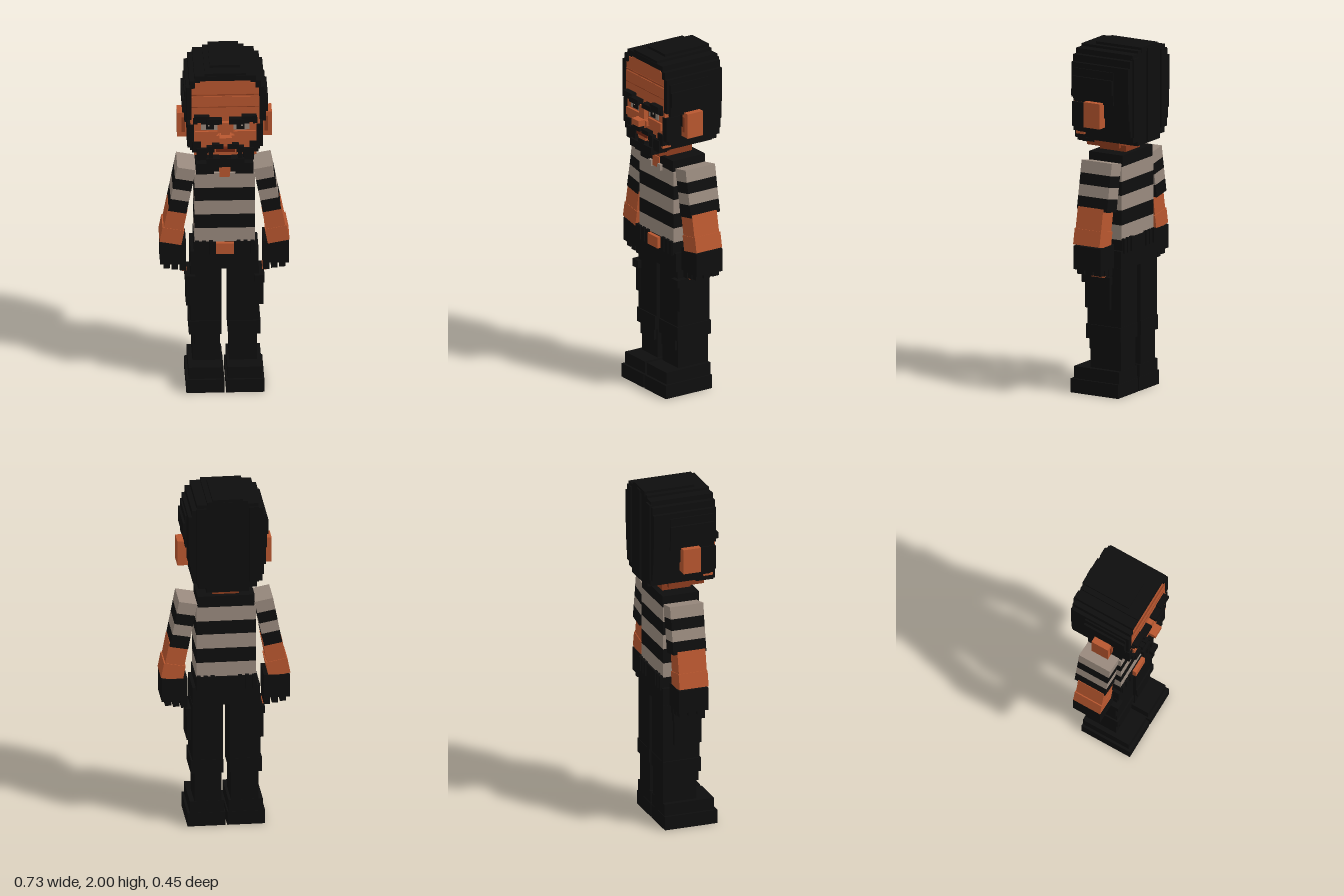
import * as THREE from 'three';

const mat = (name, color) => {
  const m = new THREE.MeshStandardMaterial({ color });
  m.name = name;
  return m;
};

export function createModel() {
  const root = new THREE.Group();
  root.name = 'blockFigure';
  const black = mat('black', 0x0e0e0e);
  const skin = mat('skin', 0xb9572f);
  const cream = mat('cream', 0x998a7e);
  const shade = mat('skinShade', 0x8c3c1e);
  const lip = mat('lip', 0x6e2410);

  // Box from its limits: [x0, x1, y0, y1, z0, z1]
  const box = (parent, name, m, [x0, x1, y0, y1, z0, z1]) => {
    const mesh = new THREE.Mesh(new THREE.BoxGeometry(x1 - x0, y1 - y0, z1 - z0), m);
    mesh.position.set((x0 + x1) / 2, (y0 + y1) / 2, (z0 + z1) / 2);
    mesh.name = name;
    parent.add(mesh);
    return mesh;
  };
  // The same box on both sides of x = 0
  const pair = (parent, name, m, [x0, x1, ...rest]) => {
    box(parent, name + 'Left', m, [x0, x1, ...rest]);
    box(parent, name + 'Right', m, [-x1, -x0, ...rest]);
  };
  const group = (name, parent = root) => {
    const g = new THREE.Group();
    g.name = name;
    parent.add(g);
    return g;
  };

  // Hair: stacked layers [y0, y1, halfWidth, frontZ]
  const head = group('head');
  [
    [1.98, 2.0, 0.085, 0.08], [1.965, 1.985, 0.115, 0.155], [1.94, 1.97, 0.172, 0.157],
    [1.9, 1.94, 0.2, 0.145], [1.83, 1.9, 0.22, 0.145], [1.7, 1.83, 0.22, 0.14],
    [1.6, 1.7, 0.215, 0.05], [1.54, 1.6, 0.205, 0.13], [1.5, 1.54, 0.195, 0.13],
    [1.465, 1.5, 0.165, 0.13], [1.44, 1.465, 0.12, 0.13],
  ].forEach(([y0, y1, w, z]) => box(head, 'hairLayer', black, [-w, w, y0, y1, -0.215, z]));
  box(head, 'hairCrown', black, [-0.085, 0.085, 1.97, 2.0, -0.22, 0.08]);
  pair(head, 'hairSide', black, [0.21, 0.24, 1.74, 1.825, -0.12, 0.14]);
  pair(head, 'hairSideLow', black, [0.21, 0.228, 1.68, 1.87, -0.12, 0.14]);
  pair(head, 'hairFrontEdge', black, [0.19, 0.218, 1.7, 1.9, 0.13, 0.158]);
  pair(head, 'hairCorner', black, [0.17, 0.2, 1.895, 1.94, 0.13, 0.158]);
  pair(head, 'backLock', black, [0.12, 0.175, 1.5, 1.95, -0.225, -0.2]);
  box(head, 'backLockMiddle', black, [-0.025, 0.025, 1.45, 1.985, -0.225, -0.2]);

  // Ears
  pair(head, 'ear', skin, [0.2, 0.265, 1.545, 1.69, -0.055, 0.05]);
  pair(head, 'earHollow', shade, [0.222, 0.242, 1.575, 1.665, 0.045, 0.054]);

  // Face
  const face = group('face', head);
  box(face, 'cheeks', skin, [-0.195, 0.195, 1.6, 1.7, 0, 0.155]);
  box(face, 'forehead', skin, [-0.192, 0.192, 1.7, 1.84, 0.1, 0.154]);
  box(face, 'upperForehead', skin, [-0.19, 0.19, 1.84, 1.9, 0.1, 0.15]);
  box(face, 'foreheadTop', skin, [-0.172, 0.172, 1.89, 1.925, 0.1, 0.15]);
  box(face, 'hairline', skin, [-0.14, 0.14, 1.92, 1.942, 0.1, 0.15]);
  [1.775, 1.85].forEach((y) => box(face, 'foreheadCrease', shade, [-0.188, 0.188, y, y + 0.004, 0.148, 0.156]));
  box(face, 'lowerFace', skin, [-0.175, 0.175, 1.48, 1.6, 0.1, 0.155]);
  box(face, 'jawUnderside', shade, [-0.1, 0.1, 1.405, 1.44, -0.08, 0.13]);
  pair(face, 'cheekbone', skin, [0.045, 0.17, 1.585, 1.63, 0.15, 0.168]);

  // Brows, eyes and nose
  pair(face, 'browInner', black, [0.02, 0.105, 1.685, 1.715, 0.15, 0.193]);
  pair(face, 'browOuter', black, [0.09, 0.175, 1.695, 1.732, 0.15, 0.188]);
  pair(face, 'browEnd', black, [0.155, 0.18, 1.68, 1.71, 0.15, 0.172]);
  pair(face, 'upperLid', black, [0.045, 0.135, 1.675, 1.688, 0.15, 0.165]);
  pair(face, 'eyeWhite', cream, [0.045, 0.135, 1.637, 1.678, 0.153, 0.159]);
  pair(face, 'pupil', black, [0.062, 0.108, 1.642, 1.68, 0.156, 0.163]);
  pair(face, 'eyeGlint', cream, [0.088, 0.098, 1.662, 1.672, 0.161, 0.166]);
  box(face, 'noseBridge', skin, [-0.025, 0.025, 1.6, 1.69, 0.15, 0.18]);
  box(face, 'noseTip', skin, [-0.034, 0.034, 1.58, 1.615, 0.15, 0.223]);
  pair(face, 'nostril', skin, [0.03, 0.05, 1.58, 1.61, 0.15, 0.18]);

  // Beard, moustache and mouth
  pair(face, 'sideburn', black, [0.175, 0.212, 1.53, 1.67, 0.06, 0.158]);
  pair(face, 'beardCheek', black, [0.135, 0.185, 1.5, 1.565, 0.1, 0.165]);
  pair(face, 'beardJaw', black, [0.1, 0.16, 1.455, 1.525, 0.1, 0.172]);
  pair(face, 'moustache', black, [0.012, 0.075, 1.53, 1.556, 0.15, 0.187]);
  pair(face, 'moustacheTip', black, [0.062, 0.105, 1.505, 1.54, 0.15, 0.18]);
  pair(face, 'moustacheDrop', black, [0.07, 0.095, 1.455, 1.51, 0.15, 0.176]);
  box(face, 'upperLip', lip, [-0.052, 0.052, 1.507, 1.53, 0.15, 0.178]);
  box(face, 'lowerLip', skin, [-0.035, 0.035, 1.488, 1.507, 0.15, 0.178]);
  box(face, 'chinPatch', black, [-0.03, 0.03, 1.455, 1.488, 0.15, 0.185]);
  box(face, 'beardChin', black, [-0.105, 0.105, 1.425, 1.468, 0.08, 0.187]);
  box(face, 'beardTip', black, [-0.07, 0.07, 1.412, 1.43, 0.08, 0.178]);

  // Neck and striped shirt
  const torso = group('torso');
  box(torso, 'neck', shade, [-0.075, 0.075, 1.36, 1.42, -0.11, 0.06]);
  const stripes = [0.9, 0.985, 1.07, 1.155, 1.235, 1.32, 1.385];
  for (let i = 0; i < 6; i++) {
    const w = i === 5 ? 0.16 : 0.168;
    box(torso, 'shirtStripe', i % 2 ? black : cream, [-w, w, stripes[i], stripes[i + 1], -0.14, 0.078]);
  }
  box(torso, 'openCollarSkin', skin, [-0.033, 0.033, 1.305, 1.37, 0.07, 0.084]);
  pair(torso, 'collarTip', cream, [0.03, 0.06, 1.3, 1.335, 0.07, 0.095]);

  // Belt
  box(torso, 'belt', black, [-0.172, 0.172, 0.83, 0.9, -0.15, 0.085]);
  box(torso, 'buckle', skin, [-0.05, 0.05, 0.835, 0.9, 0.08, 0.107]);
  [0.065, 0.105, 0.145].forEach((x) => {
    pair(torso, 'beltLoopFront', black, [x, x + 0.022, 0.825, 0.908, 0.07, 0.092]);
    pair(torso, 'beltLoopBack', black, [x, x + 0.022, 0.825, 0.908, -0.158, -0.13]);
  });

  // Arms: tilted sleeves and forearms, upright gloves
  [1, -1].forEach((side) => {
    const arm = group(side > 0 ? 'armLeft' : 'armRight');
    const limb = group('limb', arm);
    limb.position.set(side * 0.213, 1.348, 0);
    limb.rotation.z = side * 0.19;
    const sleeve = [-0.275, -0.2, -0.135, -0.07, 0];
    for (let i = 0; i < 4; i++) {
      box(limb, 'sleeveStripe', i % 2 ? cream : black,
        [-0.052, 0.052, sleeve[i], sleeve[i + 1], -0.135, 0.062]);
    }
    box(limb, 'sleeveTop', cream, [-0.052, 0.052, -0.07, 0, -0.136, 0.063]);
    box(limb, 'upperArm', skin, [-0.055, 0.055, -0.385, -0.26, -0.112, 0.055]);
    box(limb, 'forearm', skin, [-0.062, 0.062, -0.475, -0.385, -0.116, 0.057]);

    const sx = (a, b) => (side > 0 ? [a, b] : [-b, -a]);
    box(arm, 'glove', black, [...sx(0.215, 0.36), 0.75, 0.885, -0.12, 0.056]);
    [[0.215, 0.25], [0.26, 0.295], [0.305, 0.34]].forEach(([a, b], i) => {
      [-0.11, -0.055, 0.0].forEach((z) =>
        box(arm, 'finger', black, [...sx(a, b), 0.705 + i * 0.008, 0.755, z, z + 0.045]));
    });
    box(arm, 'fingertip', skin, [...sx(0.212, 0.235), 0.688, 0.706, -0.065, 0.015]);
  });

  // Trousers and boots
  const legs = group('legs');
  box(legs, 'hips', black, [-0.19, 0.19, 0.73, 0.84, -0.15, 0.077]);
  pair(legs, 'thigh', black, [0.018, 0.192, 0.4, 0.74, -0.15, 0.068]);
  pair(legs, 'pocket', black, [0.17, 0.216, 0.5, 0.69, -0.09, 0.07]);
  pair(legs, 'pocketFlap', black, [0.165, 0.222, 0.645, 0.69, -0.095, 0.09]);
  pair(legs, 'knee', black, [0.018, 0.2, 0.32, 0.402, -0.152, 0.075]);
  pair(legs, 'shin', black, [0.026, 0.18, 0.14, 0.33, -0.145, 0.055]);
  pair(legs, 'shinPad', black, [0.035, 0.17, 0.255, 0.33, 0, 0.07]);
  pair(legs, 'boot', black, [0.012, 0.205, 0.07, 0.15, -0.146, 0.15]);
  pair(legs, 'bootSole', black, [0.005, 0.218, 0, 0.08, -0.148, 0.165]);

  return root;
}
